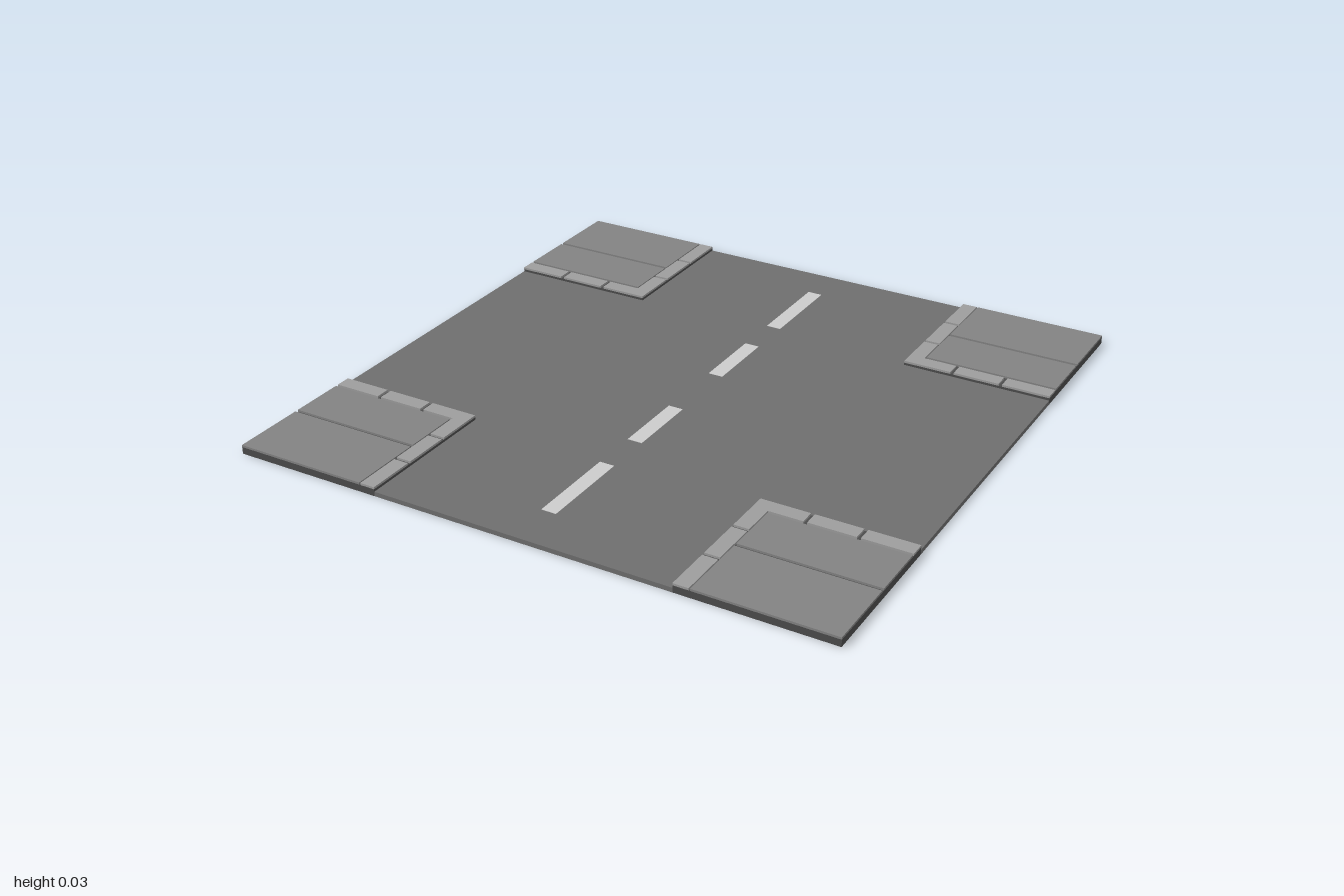
import * as THREE from 'three';

const ROAD = 0.015, BED = 0.023, TOP = 0.03;
const mat = (color) => new THREE.MeshStandardMaterial({ color, flatShading: true });

// Flat outline in x/z (counter-clockwise from above or not), raised from y0 to y1
function plate(name, points, y0, y1, material) {
  const shape = new THREE.Shape(points.map(([x, z]) => new THREE.Vector2(x, -z)));
  const geo = new THREE.ExtrudeGeometry(shape, { depth: y1 - y0, bevelEnabled: false });
  geo.rotateX(-Math.PI / 2).translate(0, y0, 0);
  const mesh = new THREE.Mesh(geo, material);
  mesh.name = name;
  return mesh;
}

const rect = (x0, x1, z0, z1) => [[x0, z0], [x1, z0], [x1, z1], [x0, z1]];

export function createModel() {
  const model = new THREE.Group();
  model.name = 'crossroads';
  const asphalt = mat(0x6e6e6e), paving = mat(0x838383), kerb = mat(0x9d9d9d);
  const groove = mat(0x4c4c4c), paint = mat(0xcccccc);

  // Cross-shaped road surface
  const a = 0.5;
  model.add(plate('road', [
    [-a, -1], [a, -1], [a, -a], [1, -a], [1, a], [a, a],
    [a, 1], [-a, 1], [-a, a], [-1, a], [-1, -a], [-a, -a],
  ], 0, ROAD, asphalt));

  // Dashed centre line
  for (const [z0, z1] of [[-0.85, -0.535], [-0.38, -0.13], [0.125, 0.372], [0.53, 0.842]]) {
    model.add(plate('laneMarking', rect(-0.025, 0.025, z0, z1), ROAD, ROAD + 0.001, paint));
  }

  // Four pavement corners, mirrored in x and z
  for (const sx of [-1, 1]) for (const sz of [-1, 1]) {
    const corner = new THREE.Group();
    corner.name = 'pavementCorner';
    const add = (name, pts, y0, y1, m) =>
      corner.add(plate(name, pts.map(([x, z]) => [x * sx, z * sz]), y0, y1, m));

    // Foundation: paving bed, with the kerb foot wrapped round it
    add('pavingBed', rect(0.55, 1, 0.55, 1), 0, BED, groove);
    add('kerbFoot', [[0.5, 0.5], [1, 0.5], [1, 0.55], [0.55, 0.55], [0.55, 1], [0.5, 1]], 0, BED, groove);

    // Two paving slabs with a joint between
    add('pavingSlab', rect(0.554, 1, 0.56, 0.744), BED, TOP, paving);
    add('pavingSlab', rect(0.554, 1, 0.756, 1), BED, TOP, paving);

    // L-shaped corner kerb, then two straight kerb stones along each street
    const j = 0.662;
    add('cornerKerb', [[0.5, 0.5], [j, 0.5], [j, 0.55], [0.55, 0.55], [0.55, j], [0.5, j]], BED, TOP, kerb);
    for (const [s, e] of [[0.674, 0.828], [0.84, 1]]) {
      add('kerbStone', rect(s, e, 0.5, 0.55), BED, TOP, kerb);
      add('kerbStone', rect(0.5, 0.55, s, e), BED, TOP, kerb);
    }
    model.add(corner);
  }
  return model;
}
